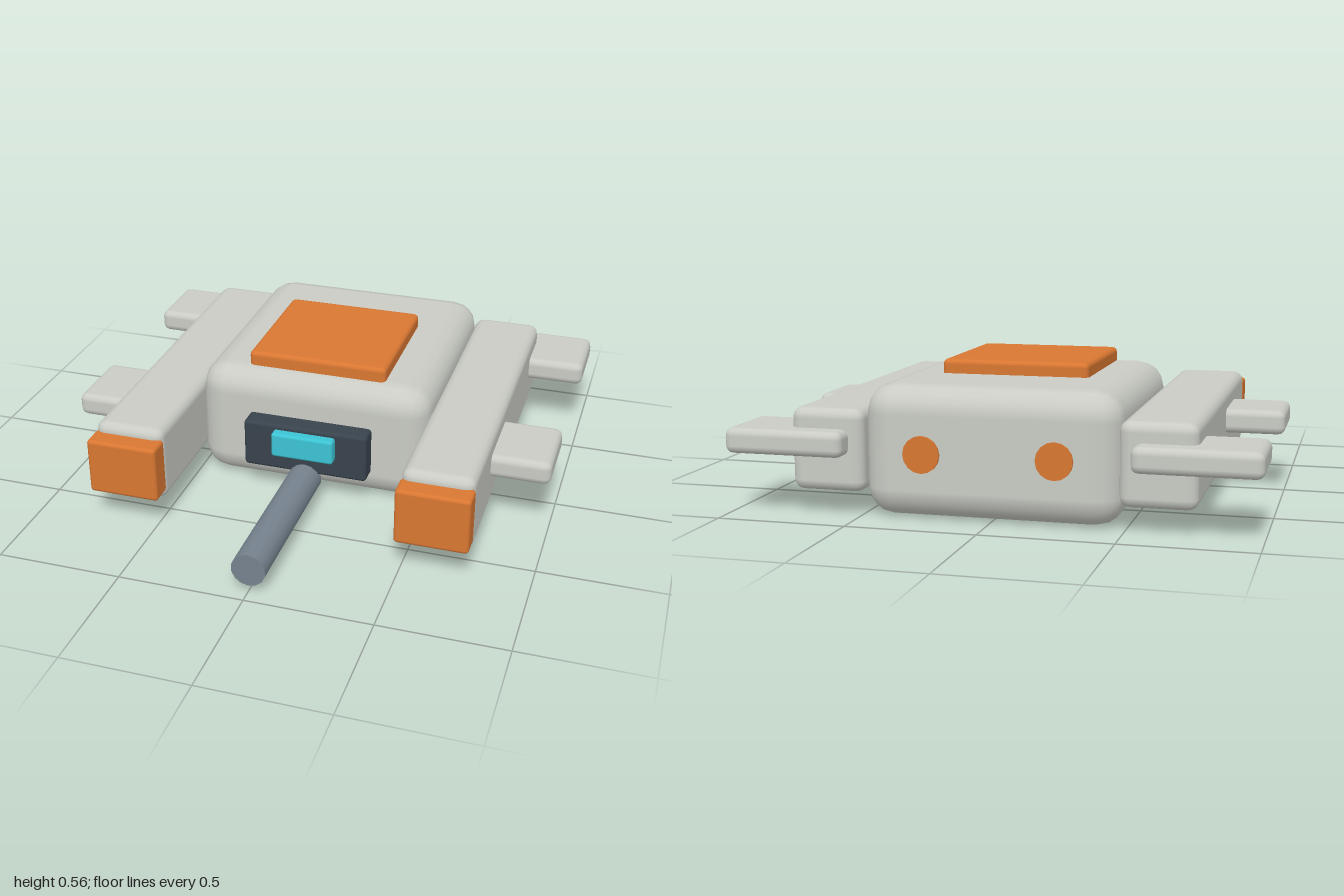
import * as THREE from 'three';
import { RoundedBoxGeometry } from 'three/addons/geometries/RoundedBoxGeometry.js';

const paint = (name, color) => {
  const m = new THREE.MeshStandardMaterial({ color });
  m.name = name;
  return m;
};

export function createModel() {
  const hull = paint('hull grey', 0xc9cbc4);
  const orange = paint('orange', 0xd97732);
  const dark = paint('dark slate', 0x38434d);
  const cyan = paint('cyan glass', 0x3cc4d4);
  const steel = paint('steel', 0x76828e);

  const model = new THREE.Group();
  model.name = 'ship';

  // Rounded box given by its extents along each axis
  const block = (name, mat, [x0, x1], [y0, y1], [z0, z1], radius) => {
    const mesh = new THREE.Mesh(new RoundedBoxGeometry(x1 - x0, y1 - y0, z1 - z0, 2, radius), mat);
    mesh.position.set((x0 + x1) / 2, (y0 + y1) / 2, (z0 + z1) / 2);
    mesh.name = name;
    model.add(mesh);
  };
  // Cylinder lying along z
  const rod = (name, mat, radius, x, y, z0, z1, sides) => {
    const mesh = new THREE.Mesh(new THREE.CylinderGeometry(radius, radius, z1 - z0, sides), mat);
    mesh.rotation.x = Math.PI / 2;
    mesh.position.set(x, y, (z0 + z1) / 2);
    mesh.name = name;
    model.add(mesh);
  };

  // Central body, roof hatch, cockpit and gun
  block('body', hull, [-0.49, 0.49], [0, 0.5], [-0.86, 0.18], 0.11);
  block('roofHatch', orange, [-0.29, 0.29], [0.475, 0.555], [-0.485, 0.09], 0.02);
  block('cockpit', dark, [-0.26, 0.26], [0.12, 0.325], [0.1, 0.26], 0.015);
  block('cockpitWindow', cyan, [-0.13, 0.13], [0.2, 0.305], [0.23, 0.3], 0.012);
  rod('gunBarrel', steel, 0.068, 0, 0.093, 0.245, 0.94, 14);

  // Side pods with nose caps, fins and rear thrusters, mirrored
  for (const [side, s] of [['left', 1], ['right', -1]]) {
    const span = (a, b) => (s > 0 ? [a, b] : [-b, -a]);
    block(side + 'Pod', hull, span(0.48, 0.765), [0.09, 0.405], [-0.86, 0.587], 0.04);
    block(side + 'NoseCap', orange, span(0.478, 0.767), [0.133, 0.365], [0.565, 0.665], 0.015);
    block(side + 'RearFin', hull, span(0.535, 1), [0.232, 0.33], [-0.94, -0.628], 0.03);
    block(side + 'FrontFin', hull, span(0.535, 1), [0.232, 0.33], [-0.058, 0.26], 0.03);
    rod(side + 'Thruster', orange, 0.07, s * 0.25, 0.25, -0.87, -0.83, 16);
  }
  return model;
}
